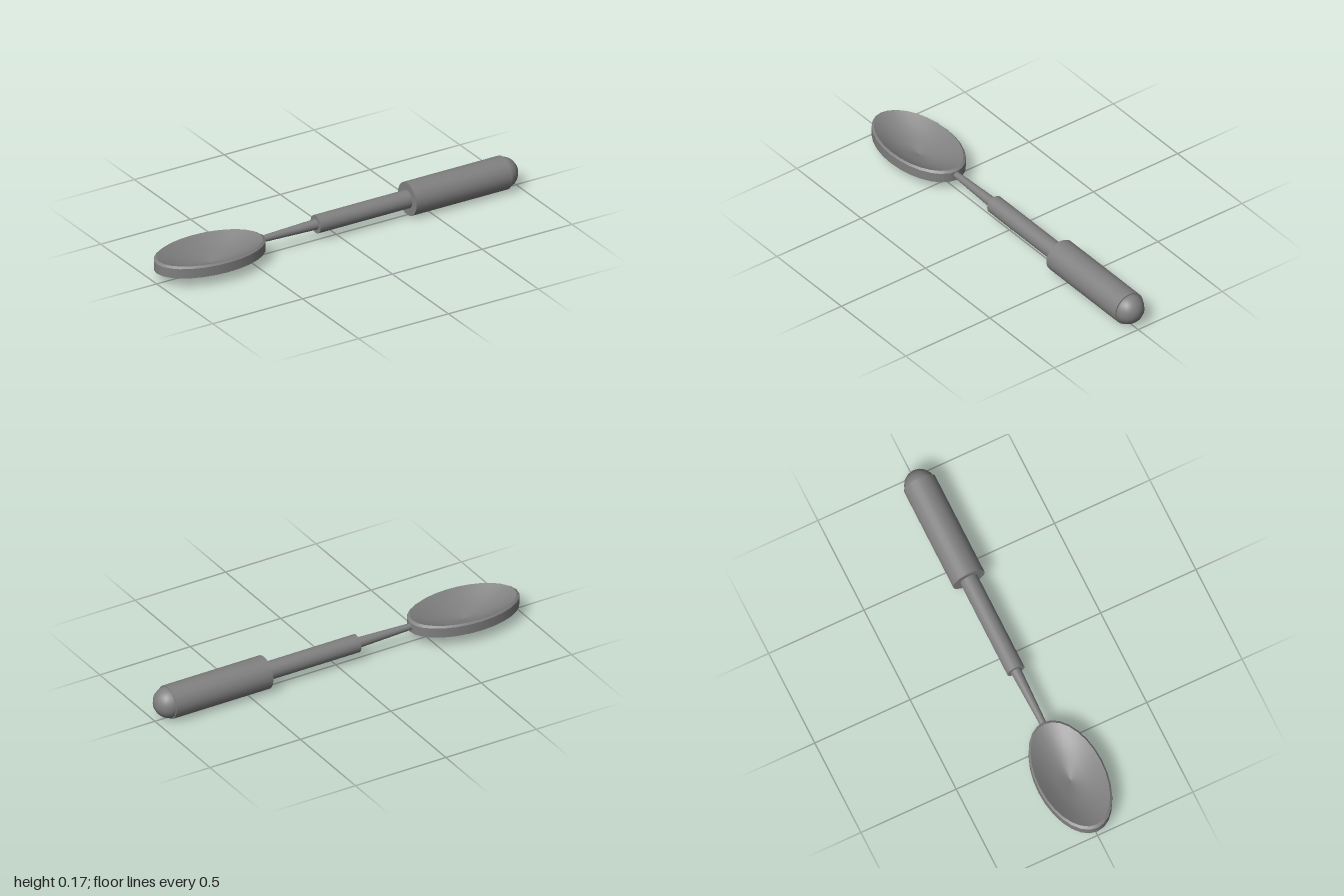
import * as THREE from 'three';

const AXIS_Y = 0.086;

export function createModel() {
  const model = new THREE.Group();
  model.name = 'spoon';
  const metal = new THREE.MeshStandardMaterial({ color: 0x808080 });
  metal.name = 'grey metal';

  function add(name, geometry, parent = model) {
    const mesh = new THREE.Mesh(geometry, metal);
    mesh.name = name;
    parent.add(mesh);
    return mesh;
  }

  // Round bar along x from x0 (radius r0) to x1 (radius r1)
  function bar(name, x0, x1, r0, r1) {
    const geometry = new THREE.CylinderGeometry(r1, r0, x1 - x0, 24);
    geometry.rotateZ(-Math.PI / 2);
    add(name, geometry).position.set((x0 + x1) / 2, AXIS_Y, 0);
  }
  bar('neck', -0.42, -0.115, 0.016, 0.026);
  bar('shaft', -0.115, 0.4, 0.045, 0.045);
  bar('grip', 0.395, 0.93, 0.083, 0.083);

  // Rounded end of the grip
  add('endCap', new THREE.SphereGeometry(0.077, 16, 24)).position.set(0.923, AXIS_Y, 0);

  // Oval bowl: each profile band is [fraction of radius, height]; bands meet at sharp edges
  const bowl = new THREE.Group();
  bowl.name = 'bowl';
  bowl.position.x = -0.705;
  model.add(bowl);
  const bands = {
    underside: [[0, 0.027], [0.38, 0.028], [0.78, 0.043], [1, 0.058]],
    wall: [[1, 0.058], [1, 0.107]],
    rim: [[1, 0.107], [0.95, 0.116]],
    hollow: [[0.95, 0.116], [0.7, 0.086], [0.4, 0.058], [0, 0.038]],
  };
  for (const [name, points] of Object.entries(bands)) {
    const geometry = new THREE.LatheGeometry(points.map(([r, y]) => new THREE.Vector2(r, y)), 28);
    geometry.scale(0.295, 1, 0.167);
    add(name, geometry, bowl);
  }

  return model;
}
